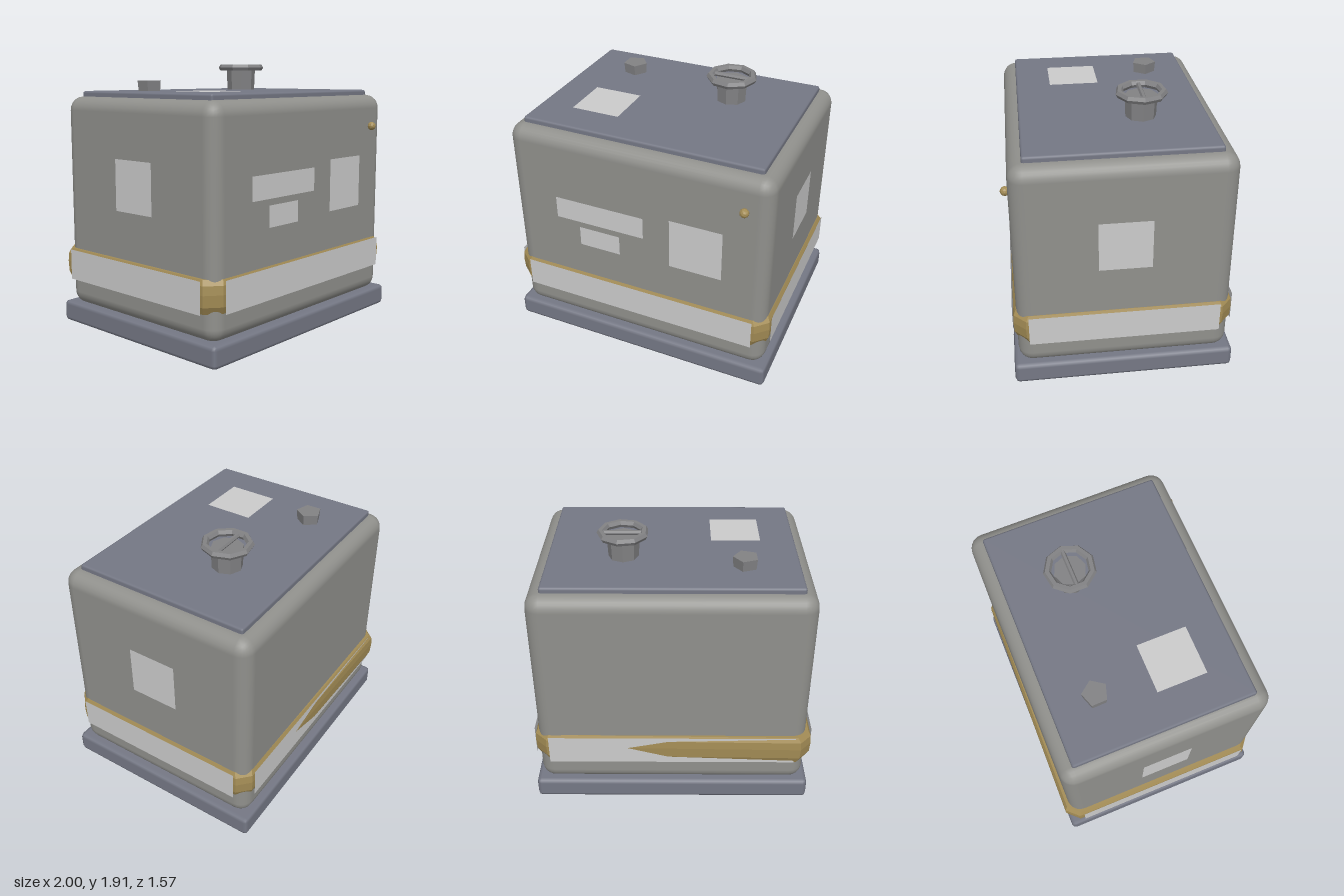
import * as THREE from 'three';
import { RoundedBoxGeometry } from 'three/addons/geometries/RoundedBoxGeometry.js';

const mat = (color, extra = {}) => {
  const m = new THREE.MeshStandardMaterial(extra);
  m.color.set(color);
  return m;
};

// Gold band: a chamfered rectangle lofted through a few heights
function bandGeometry() {
  const outline = [[0.985, -0.68], [0.985, 0.68], [0.9, 0.763], [-0.9, 0.763],
    [-1, 0.68], [-1, -0.7], [-0.92, -0.785], [0.9, -0.76]];
  // height and inset of each row; the end rows tuck into the body
  const rows = [[0.34, 0.08], [0.34, 0.022], [0.39, 0.004], [0.47, 0], [0.53, 0.004], [0.565, 0.022], [0.565, 0.08]];
  const pos = [], index = [], n = outline.length;
  for (const [y, inset] of rows)
    for (const [x, z] of outline)
      pos.push(x - Math.sign(x) * inset, y, z - Math.sign(z) * inset);
  for (let j = 0; j < rows.length - 1; j++)
    for (let i = 0; i < n; i++) {
      const a = j * n + i, b = j * n + (i + 1) % n;
      index.push(a, a + n, b + n, a, b + n, b);
    }
  const g = new THREE.BufferGeometry();
  g.setAttribute('position', new THREE.Float32BufferAttribute(pos, 3));
  g.setIndex(index);
  const flat = g.toNonIndexed();
  flat.computeVertexNormals();
  return flat;
}

export function createModel() {
  const group = new THREE.Group();
  const shell = mat(0x90908c), slate = mat(0x757885);
  const gold = mat(0xa38c55, { flatShading: true, side: THREE.DoubleSide });
  const metal = mat(0x828284, { flatShading: true });
  const label = mat(0xcccccc, { side: THREE.DoubleSide });

  const add = (name, geometry, material, x = 0, y = 0, z = 0, parent = group) => {
    const m = new THREE.Mesh(geometry, material);
    m.name = name;
    m.position.set(x, y, z);
    parent.add(m);
    return m;
  };

  // Body, base and lid
  add('body', new RoundedBoxGeometry(1.92, 1.54, 1.48, 3, 0.1), shell, 0, 0.905, 0);
  add('base', new RoundedBoxGeometry(1.99, 0.155, 1.55, 1, 0.03), slate, 0, 0.0775, 0);
  add('lid', new RoundedBoxGeometry(1.735, 0.07, 1.29, 1, 0.016), slate, -0.005, 1.677, 0);

  // Gold band with flat strips over its four sides
  add('band', bandGeometry(), gold);
  for (const s of [1, -1]) {
    add('bandStrip', new THREE.PlaneGeometry(1.76, 0.22), label, 0, 0.45, s * 0.768)
      .rotation.y = s > 0 ? 0 : Math.PI;
    add('bandStrip', new THREE.PlaneGeometry(1.32, 0.22), label, s * (s > 0 ? 0.99 : 1.004), 0.45, 0)
      .rotation.y = s * Math.PI / 2;
    add('sidePanel', new THREE.PlaneGeometry(0.36, 0.36), label, s * 0.965, 1.08, 0)
      .rotation.y = s * Math.PI / 2;
  }

  // Front panels: x, y, width, height
  for (const [x, y, w, h] of [[-0.27, 1.102, 0.67, 0.165], [-0.275, 0.9, 0.31, 0.15], [0.45, 1.035, 0.38, 0.38]])
    add('frontPanel', new THREE.PlaneGeometry(w, h), label, x, y, 0.745);

  // Panel lying on the lid
  add('lidPanel', new THREE.PlaneGeometry(0.35, 0.355), label, -0.45, 1.716, 0.22)
    .rotation.x = -Math.PI / 2;

  // Small round knob on the front
  add('frontKnob', new THREE.IcosahedronGeometry(0.032, 1), gold, 0.78, 1.44, 0.757);

  // Five-sided cap on the lid
  add('cap', new THREE.CylinderGeometry(0.09, 0.082, 0.09, 5), metal, -0.495, 1.742, -0.338)
    .rotation.y = 2.85;

  // Valve: stem, wheel rim and cross bar
  const valve = new THREE.Group();
  valve.name = 'valve';
  valve.position.set(0.335, 0, -0.183);
  group.add(valve);
  add('valveStem', new THREE.CylinderGeometry(0.112, 0.105, 0.17, 8), metal, 0, 1.78, 0, valve);
  const rim = add('valveWheel', new THREE.TorusGeometry(0.153, 0.027, 6, 9), metal, 0, 1.884, 0, valve);
  rim.rotation.x = Math.PI / 2;
  const bar = add('valveBar', new THREE.CylinderGeometry(0.017, 0.017, 0.28, 6), metal, 0, 1.885, 0, valve);
  bar.rotation.z = Math.PI / 2;

  return group;
}
